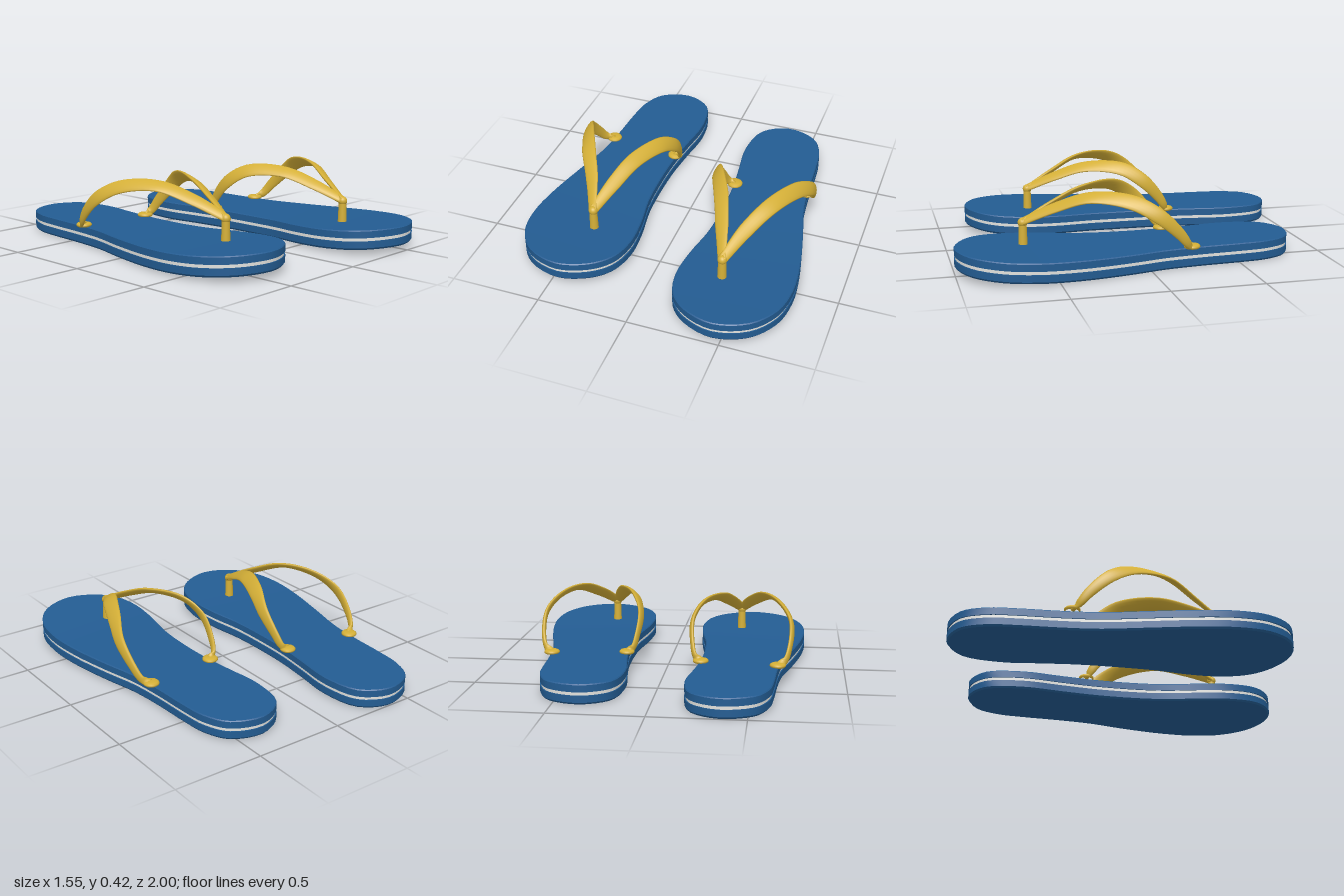
import * as THREE from 'three';

const BLUE = new THREE.MeshStandardMaterial({ color: 0x235c92, name: 'blue foam' });
const WHITE = new THREE.MeshStandardMaterial({ color: 0xe2e2de, name: 'white stripe' });
const GOLD = new THREE.MeshStandardMaterial({ color: 0xd4af37, name: 'golden rubber' });

// Sole outline (x, z): heel, outer side, toe, inner side
const OUTLINE = [
  [0.36, -0.845],
  [0.53, -0.79], [0.6, -0.66], [0.62, -0.5], [0.632, -0.29], [0.655, -0.08],
  [0.705, 0.13], [0.76, 0.4], [0.777, 0.61], [0.745, 0.79], [0.64, 0.935],
  [0.46, 1.0],
  [0.295, 0.945], [0.2, 0.845], [0.16, 0.69], [0.17, 0.5], [0.205, 0.29],
  [0.215, 0.08], [0.21, -0.13], [0.19, -0.32], [0.165, -0.55], [0.21, -0.76],
];
const outlineCurve = new THREE.CatmullRomCurve3(
  OUTLINE.map(([x, z]) => new THREE.Vector3(x, 0, z)), true);
const N = 88;

// Toe spring: the sole curls up towards the toe
const bend = (z) => (z > 0 ? 0.034 * Math.pow(z, 1.9) : 0);

// Outline ring moved inwards and set at a height
function ring(inset, y) {
  const pts = [];
  for (let i = 0; i < N; i++) {
    const p = outlineCurve.getPoint(i / N);
    const t = outlineCurve.getTangent(i / N);
    p.x -= t.z * inset;
    p.z += t.x * inset;
    p.y = y + bend(p.z);
    pts.push(p);
  }
  return pts;
}

// Collects patches made of rows of points; side = -1 mirrors them in x
function surface(patches, side) {
  const pos = [], idx = [];
  for (const { rows, closed } of patches) {
    const base = pos.length / 3, n = rows[0].length;
    rows.forEach((row) => row.forEach((p) => pos.push(p.x * side, p.y, p.z)));
    const tri = (a, b, c) => (side > 0 ? idx.push(a, b, c) : idx.push(a, c, b));
    for (let r = 0; r < rows.length - 1; r++) {
      for (let i = 0; i < (closed ? n : n - 1); i++) {
        const j = (i + 1) % n, a = base + r * n, b = a + n;
        tri(a + i, b + i, b + j);
        tri(a + i, b + j, a + j);
      }
    }
  }
  const geo = new THREE.BufferGeometry();
  geo.setAttribute('position', new THREE.Float32BufferAttribute(pos, 3));
  geo.setIndex(idx);
  geo.computeVertexNormals();
  return geo;
}

// Foam layer from a profile of [inset, y], each band with sharp edges
function layer(profile, side, top, bottom) {
  const rings = profile.map(([inset, y]) => ring(inset, y));
  const patches = [];
  for (let i = 0; i < rings.length - 1; i++) {
    patches.push({ rows: [rings[i], rings[i + 1]], closed: true });
  }
  const halves = (pts) => {
    const outer = [], inner = [];
    for (let i = 0; i <= N / 2; i++) {
      outer.push(pts[i]);
      inner.push(pts[(N - i) % N]);
    }
    return [outer, inner];
  };
  if (top) patches.push({ rows: halves(rings[rings.length - 1]) });
  if (bottom) patches.push({ rows: halves(rings[0]).reverse() });
  return surface(patches, side);
}

// Strap with a flat oval section; stations are [x, y, z, width, normal x, y, z]
function strap(stations, side) {
  const path = new THREE.CatmullRomCurve3(stations.map((s) => new THREE.Vector3(s[0], s[1], s[2])));
  const steps = 48, around = 14, rows = [];
  const last = stations.length - 1;
  for (let i = 0; i <= steps; i++) {
    const t = i / steps, k = Math.min(Math.floor(t * last), last - 1), f = t * last - k;
    const mix = (c) => THREE.MathUtils.lerp(stations[k][c], stations[k + 1][c], f);
    const p = path.getPoint(t), tan = path.getTangent(t);
    const across = tan.clone().cross(new THREE.Vector3(mix(4), mix(5), mix(6))).normalize();
    const normal = across.clone().cross(tan).normalize();
    const row = [];
    for (let j = 0; j < around; j++) {
      const a = (j / around) * Math.PI * 2;
      row.push(p.clone()
        .addScaledVector(across, Math.cos(a) * mix(3) / 2)
        .addScaledVector(normal, Math.sin(a) * 0.012));
    }
    if (i === 0) rows.push(row.map(() => p.clone()));
    rows.push(row);
    if (i === steps) rows.push(row.map(() => p.clone()));
  }
  return surface([{ rows, closed: true }], side);
}

const OUTER_STRAP = [
  [0.397, 0.24, 0.64, 0.05, 0.5, 0.8, 0.5],
  [0.47, 0.325, 0.47, 0.08, 0.45, 0.9, 0.4],
  [0.56, 0.388, 0.3, 0.09, 0.45, 0.9, 0.2],
  [0.65, 0.37, 0.1, 0.09, 0.75, 0.6, 0],
  [0.7, 0.3, -0.03, 0.08, 1, 0.3, 0],
  [0.695, 0.2, -0.14, 0.06, 1, 0.1, -0.1],
  [0.672, 0.135, -0.195, 0.045, 1, 0.2, -0.2],
  [0.635, 0.115, -0.223, 0.04, 0.6, 1, -0.2],
];
const INNER_STRAP = [
  [0.397, 0.24, 0.64, 0.05, -0.5, 0.8, 0.5],
  [0.34, 0.32, 0.47, 0.08, -0.45, 0.9, 0.4],
  [0.28, 0.378, 0.3, 0.09, -0.5, 0.9, 0.2],
  [0.195, 0.372, 0.1, 0.09, -0.75, 0.6, 0],
  [0.155, 0.3, -0.02, 0.08, -1, 0.3, 0],
  [0.163, 0.2, -0.115, 0.06, -1, 0.1, -0.1],
  [0.182, 0.135, -0.16, 0.045, -1, 0.2, -0.2],
  [0.213, 0.115, -0.175, 0.04, -0.6, 1, -0.2],
];

function sandal(side) {
  const group = new THREE.Group();
  const add = (name, geo, mat, x = 0, y = 0, z = 0) => {
    const mesh = new THREE.Mesh(geo, mat);
    mesh.name = name;
    mesh.position.set(x * side, y, z);
    group.add(mesh);
  };

  // Layered sole
  add('lowerSole', layer([[0.008, 0], [0, 0.01], [0, 0.047], [0.02, 0.047]], side, false, true), BLUE);
  add('soleStripe', layer([[0.006, 0.046], [0.006, 0.066]], side, false, false), WHITE);
  add('upperSole', layer([[0.02, 0.065], [0, 0.065], [0, 0.102], [0.005, 0.107]], side, true, false), BLUE);

  // Y-shaped straps
  add('outerStrap', strap(OUTER_STRAP, side), GOLD);
  add('innerStrap', strap(INNER_STRAP, side), GOLD);

  // Toe post and the knot joining the straps
  add('toePost', new THREE.CylinderGeometry(0.021, 0.025, 0.13, 20), GOLD, 0.397, 0.175, 0.632);
  add('toeKnot', new THREE.SphereGeometry(0.026, 20, 12), GOLD, 0.397, 0.238, 0.632);

  // Domed plugs anchoring the strap ends
  const plug = [[0.036, 0], [0.043, 0.006], [0.043, 0.014], [0.036, 0.021], [0.02, 0.024], [0, 0.025]]
    .map(([r, y]) => new THREE.Vector2(r, y));
  add('outerPlug', new THREE.LatheGeometry(plug, 24), GOLD, 0.632, 0.104, -0.225);
  add('innerPlug', new THREE.LatheGeometry(plug, 24), GOLD, 0.214, 0.104, -0.175);
  return group;
}

export function createModel() {
  const model = new THREE.Group();
  model.name = 'sandals';
  const left = sandal(1);
  left.name = 'leftSandal';
  const right = sandal(-1);
  right.name = 'rightSandal';
  right.position.z = -0.155; // one step behind
  model.add(left, right);
  return model;
}
